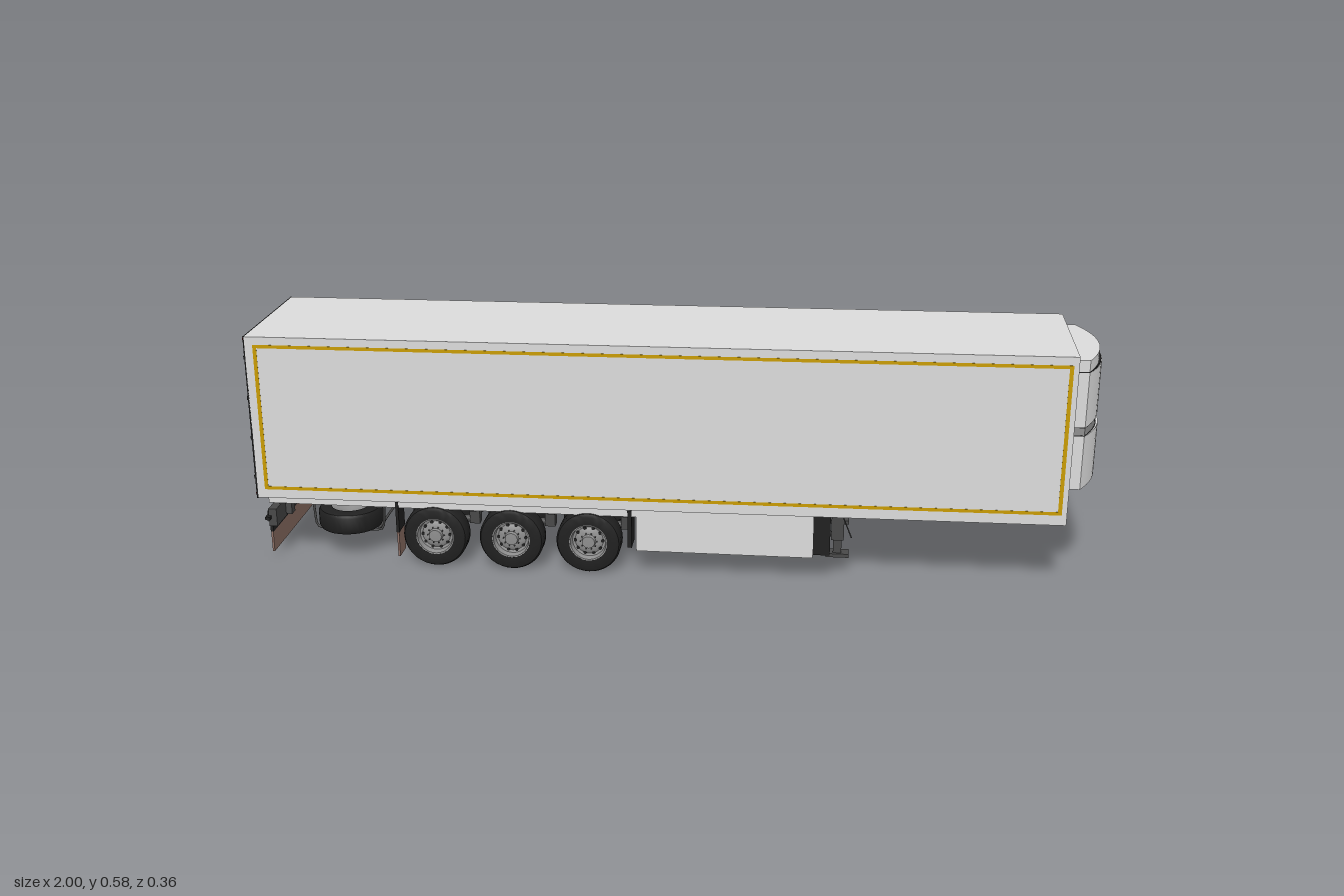
import * as THREE from 'three';
import { toCreasedNormals } from 'three/addons/utils/BufferGeometryUtils.js';

export function createModel() {
  const root = new THREE.Group();
  root.name = 'refrigeratedTrailer';

  const mat = (name, color) => {
    const m = new THREE.MeshStandardMaterial({ color });
    m.name = name;
    return m;
  };
  const grey = mat('panelGrey', 0xdbdbdb);
  const steel = mat('steelGrey', 0x8e8e8e);
  const dark = mat('chassisGrey', 0x484848);
  const black = mat('rubberBlack', 0x202020);
  const yellow = mat('stripeYellow', 0xc89b00);
  const brown = mat('flapBrown', 0x8d6f65);
  const red = mat('lampRed', 0xc01414);
  const white = mat('white', 0xf4f4f4);

  const add = (name, geo, m, parent = root) => {
    const mesh = new THREE.Mesh(geo, m);
    mesh.name = name;
    parent.add(mesh);
    return mesh;
  };
  // Box given by its limits on each axis
  const box = (name, m, x0, x1, y0, y1, z0, z1, parent = root) => {
    const b = add(name, new THREE.BoxGeometry(x1 - x0, y1 - y0, z1 - z0), m, parent);
    b.position.set((x0 + x1) / 2, (y0 + y1) / 2, (z0 + z1) / 2);
    return b;
  };
  // Round bar between two points
  const bar = (name, m, a, b, r, parent = root, sides = 12) => {
    const p = new THREE.Vector3(...a), q = new THREE.Vector3(...b);
    const c = add(name, new THREE.CylinderGeometry(r, r, p.distanceTo(q), sides), m, parent);
    c.position.copy(p).add(q).multiplyScalar(0.5);
    c.quaternion.setFromUnitVectors(new THREE.Vector3(0, 1, 0), q.sub(p).normalize());
    return c;
  };
  const polygon = pts => pts.map(p => new THREE.Vector2(...p));
  const slab = (pts, depth, hole) => {
    const s = new THREE.Shape(polygon(pts));
    if (hole) s.holes.push(new THREE.Path(polygon(hole)));
    return new THREE.ExtrudeGeometry(s, { depth, bevelEnabled: false });
  };

  // Cargo body, slightly higher at the front
  add('cargoBody', slab([[-0.994, 0.163], [0.925, 0.172], [0.925, 0.578], [-0.994, 0.567]], 0.357), grey)
    .position.z = -0.1785;

  // Yellow outline on both sides
  for (const z of [0.1784, -0.179]) {
    add('sideStripe', slab(
      [[-0.975, 0.185], [0.913, 0.197], [0.913, 0.558], [-0.975, 0.548]], 0.0006,
      [[-0.966, 0.193], [0.904, 0.205], [0.904, 0.550], [-0.966, 0.540]]), yellow).position.z = z;
  }

  // Rear doors, frame, lock bars and hinges
  const rear = new THREE.Group();
  rear.name = 'rearDoors';
  root.add(rear);
  box('rearFrame', black, -0.997, -0.993, 0.161, 0.567, -0.1785, 0.1785, rear);
  for (const s of [1, -1]) {
    const a = s > 0 ? 0.002 : -0.171, b = s > 0 ? 0.171 : -0.002;
    box('door', grey, -0.999, -0.994, 0.178, 0.555, a, b, rear);
    for (const z of [0.045, 0.115]) {
      bar('lockBar', dark, [-0.998, 0.175, s * z], [-0.998, 0.557, s * z], 0.002, rear, 8);
      box('lockHandle', black, -1, -0.997, 0.235, 0.24, s * z - 0.015, s * z + 0.015, rear);
    }
    for (let i = 0; i < 4; i++) {
      const y = 0.21 + i * 0.1;
      box('hinge', black, -1, -0.996, y, y + 0.009, s * 0.168 - 0.008, s * 0.168 + 0.008, rear);
    }
    for (const y of [0.171, 0.56]) box('cornerLamp', red, -1, -0.996, y - 0.003, y + 0.003, s * 0.145 - 0.028, s * 0.145 + 0.028, rear);
  }

  // Cooling unit: bowed tiers stacked on the front wall
  const unit = new THREE.Group();
  unit.name = 'coolingUnit';
  root.add(unit);
  const bow = (z, reach, half) => 0.953 + (reach - 0.953) * (1 - (z / half) ** 2);
  const tier = (name, m, y0, y1, reach, half) => {
    const pts = [[0.924, half]];
    for (let i = 0; i <= 16; i++) {
      const z = half - i * half / 8;
      pts.push([bow(z, reach, half), z]);
    }
    pts.push([0.924, -half]);
    const g = slab(pts.map(([x, z]) => [x, -z]), y1 - y0);
    g.rotateX(-Math.PI / 2);
    add(name, toCreasedNormals(g, 0.5), m, unit).position.y = y0;
  };
  tier('lowerCover', grey, 0.25, 0.38, 1.0, 0.147);
  tier('airGap', steel, 0.382, 0.4, 0.994, 0.146);
  tier('upperCover', grey, 0.402, 0.532, 0.997, 0.147);
  tier('hood', grey, 0.534, 0.561, 0.99, 0.146);
  for (const y of [0.38, 0.4, 0.532]) tier('coverSeam', black, y, y + 0.002, 0.995, 0.1465);
  for (const [z, y0, y1, r] of [[0, 0.25, 0.38, 0.9995], [-0.09, 0.25, 0.38, 1], [-0.09, 0.402, 0.532, 0.997]]) {
    const x = bow(z, r, 0.147);
    box('panelSeam', black, x - 0.004, x + 0.0005, y0, y1, z - 0.001, z + 0.001, unit);
  }
  const plate = box('unitLabel', brown, -0.001, 0.001, 0.265, 0.311, -0.014, 0.014, unit);
  plate.position.x = bow(-0.119, 1, 0.147) + 0.001;
  plate.position.z = -0.119;
  plate.rotation.y = Math.atan(2 * 0.047 * 0.119 / 0.147 ** 2);
  box('unitHandle', steel, 0.99, 0.9995, 0.28, 0.287, -0.037, -0.019, unit);

  // Connections on the front wall
  box('wallLabel', brown, 0.925, 0.927, 0.194, 0.224, 0.123, 0.161);
  box('powerSocket', black, 0.925, 0.935, 0.222, 0.233, -0.016, 0);
  box('redValve', red, 0.925, 0.935, 0.229, 0.238, -0.067, -0.049);
  bar('valveLever', black, [0.933, 0.243, -0.06], [0.933, 0.228, -0.08], 0.001);
  [0.031, 0.015, -0.001, -0.018, -0.033].forEach((z, i) =>
    bar('airCoupling', i === 3 ? red : black, [0.924, 0.208, z], [0.936, 0.208, z], i % 4 ? 0.0045 : 0.0025));

  // Chassis rails, outer rails, crossmembers and king pin
  for (const s of [1, -1]) {
    box('chassisRail', dark, -0.97, 0.3, 0.132, 0.166, s * 0.09 - 0.01, s * 0.09 + 0.01);
    box('outerRail', grey, -0.97, -0.075, 0.148, 0.167, s * 0.17 - 0.003, s * 0.17 + 0.003);
    add('railTaper', slab([[0.3, 0.14], [0.55, 0.163], [0.55, 0.171], [0.3, 0.171]], 0.014), grey).position.z = s * 0.09 - 0.007;
  }
  for (const x of [-0.94, -0.7, -0.47, -0.28, -0.1]) box('crossmember', dark, x - 0.008, x + 0.008, 0.142, 0.165, -0.165, 0.165);
  bar('kingPin', black, [0.735, 0.155, 0], [0.735, 0.175, 0], 0.008);

  // Wheels: tyre, rim, hub and vent holes; outer face looks along local +y
  const lathe = pts => toCreasedNormals(new THREE.LatheGeometry(polygon(pts), 36), 0.6);
  const tyreGeo = lathe([[0.046, -0.026], [0.066, -0.027], [0.074, -0.024], [0.078, -0.017], [0.078, 0.017],
    [0.074, 0.024], [0.066, 0.027], [0.046, 0.026], [0.043, 0.012], [0.043, -0.012], [0.046, -0.026]]);
  const rimGeo = lathe([[0, -0.008], [0.043, -0.022], [0.047, -0.025], [0.047, 0.026], [0.043, 0.025],
    [0.04, 0.01], [0.034, 0.008], [0.023, 0.015], [0.017, 0.015], [0.015, 0.023], [0, 0.024]]);
  const holeGeo = new THREE.CylinderGeometry(0.0042, 0.0042, 0.003, 10);
  const wheel = (x, y, z, rx) => {
    const g = new THREE.Group();
    g.name = 'wheel';
    add('tyre', tyreGeo, black, g);
    add('rim', rimGeo, steel, g);
    for (let i = 0; i < 10; i++) {
      const a = i * Math.PI / 5;
      const h = add('rimHole', holeGeo, black, g);
      h.position.set(0.033 * Math.cos(a), 0.0095, 0.033 * Math.sin(a));
      const n = add('wheelNut', holeGeo, dark, g);
      n.position.set(0.02 * Math.cos(a), 0.016, 0.02 * Math.sin(a));
      n.scale.set(0.4, 1.5, 0.4);
    }
    g.position.set(x, y, z);
    g.rotation.x = rx;
    root.add(g);
    return g;
  };

  // Three axles with suspension
  for (const x of [-0.563, -0.377, -0.19]) {
    for (const s of [1, -1]) {
      wheel(x, 0.078, s * 0.151, s * Math.PI / 2);
      box('hangerBracket', dark, x + 0.07, x + 0.095, 0.085, 0.14, s * 0.09 - 0.012, s * 0.09 + 0.012);
      bar('trailingArm', dark, [x + 0.083, 0.095, s * 0.09], [x - 0.06, 0.085, s * 0.09], 0.009);
      bar('airBellow', black, [x - 0.05, 0.09, s * 0.09], [x - 0.05, 0.135, s * 0.09], 0.022, root, 16);
      bar('brakeDrum', dark, [x, 0.078, s * 0.105], [x, 0.078, s * 0.128], 0.036, root, 20);
    }
    bar('axle', dark, [x, 0.078, -0.13], [x, 0.078, 0.13], 0.013, root, 16);
  }

  // Mudguards, flaps and corner panels
  for (const s of [1, -1]) {
    const z0 = s * 0.15 - 0.026, z1 = s * 0.15 + 0.026;
    box('rearMudguard', black, -0.657, -0.65, 0.085, 0.163, z0, z1);
    box('mudFlap', brown, -0.656, -0.651, 0.022, 0.085, z0, z1);
    box('frontMudguard', black, -0.095, -0.085, 0.07, 0.165, z0, z1);
    box('cornerPanel', black, 0.345, 0.385, 0.068, 0.168, s * 0.163 - 0.006, s * 0.163 + 0.006);
  }

  // Pallet box under the floor
  for (const s of [1, -1]) {
    box('palletBoxSide', grey, -0.075, 0.345, 0.065, 0.168, s * 0.168 - 0.004, s * 0.168 + 0.004);
    box('palletBoxCorner', grey, 0.338, 0.344, 0.066, 0.168, s * 0.14 - 0.025, s * 0.14 + 0.025);
  }
  box('palletBoxFloor', grey, -0.075, 0.345, 0.06, 0.067, -0.17, 0.17);
  box('palletBoxFront', grey, 0.338, 0.344, 0.066, 0.128, -0.115, 0.115);

  // Landing legs
  for (const s of [1, -1]) {
    const z = s * 0.103;
    box('legOuter', dark, 0.387, 0.417, 0.085, 0.17, z - 0.013, z + 0.013);
    box('legInner', dark, 0.392, 0.412, 0.05, 0.085, z - 0.009, z + 0.009);
    box('legFoot', dark, 0.375, 0.43, 0.042, 0.051, z - 0.016, z + 0.016);
    bar('legBrace', dark, [0.4, 0.09, z], [0.3, 0.145, z], 0.005);
  }
  bar('legShaft', steel, [0.402, 0.135, -0.1], [0.402, 0.135, 0.1], 0.004);
  bar('crankHandle', dark, [0.415, 0.15, 0.132], [0.435, 0.1, 0.132], 0.0015);

  // Two spare wheels lying side by side in their cages
  for (const s of [1, -1]) {
    wheel(-0.795, 0.09, s * 0.085, Math.PI).name = 'spareWheel';
    const path = new THREE.CatmullRomCurve3([[-0.885, 0.15], [-0.88, 0.07], [-0.865, 0.057], [-0.725, 0.057], [-0.71, 0.07], [-0.705, 0.15]]
      .map(([x, y]) => new THREE.Vector3(x, y, s * 0.1)), false, 'catmullrom', 0.2);
    add('cageBar', new THREE.TubeGeometry(path, 30, 0.003, 8), dark);
  }
  for (const x of [-0.865, -0.725]) bar('cageCrossbar', dark, [x, 0.057, -0.1], [x, 0.057, 0.1], 0.003);

  // Rear bumper with lamps and wide flap
  box('bumper', dark, -0.975, -0.955, 0.085, 0.13, -0.17, 0.17);
  box('bumperPlate', white, -0.979, -0.975, 0.1, 0.118, -0.075, 0.075);
  box('rearFlap', brown, -0.974, -0.969, 0.016, 0.068, -0.165, 0.165);
  box('flapHolder', black, -0.975, -0.968, 0.068, 0.085, -0.165, 0.165);
  for (const s of [1, -1]) {
    box('lampHousing', black, -0.979, -0.975, 0.095, 0.122, s * 0.13 - 0.035, s * 0.13 + 0.035);
    box('tailLamp', red, -0.981, -0.979, 0.102, 0.115, s * 0.15 - 0.01, s * 0.15 + 0.01);
    box('bumperArm', dark, -0.96, -0.94, 0.09, 0.165, s * 0.09 - 0.012, s * 0.09 + 0.012);
    box('markerLamp', black, -0.98, -0.968, 0.105, 0.113, s * 0.174 - 0.008, s * 0.174 + 0.008);
  }
  return root;
}
